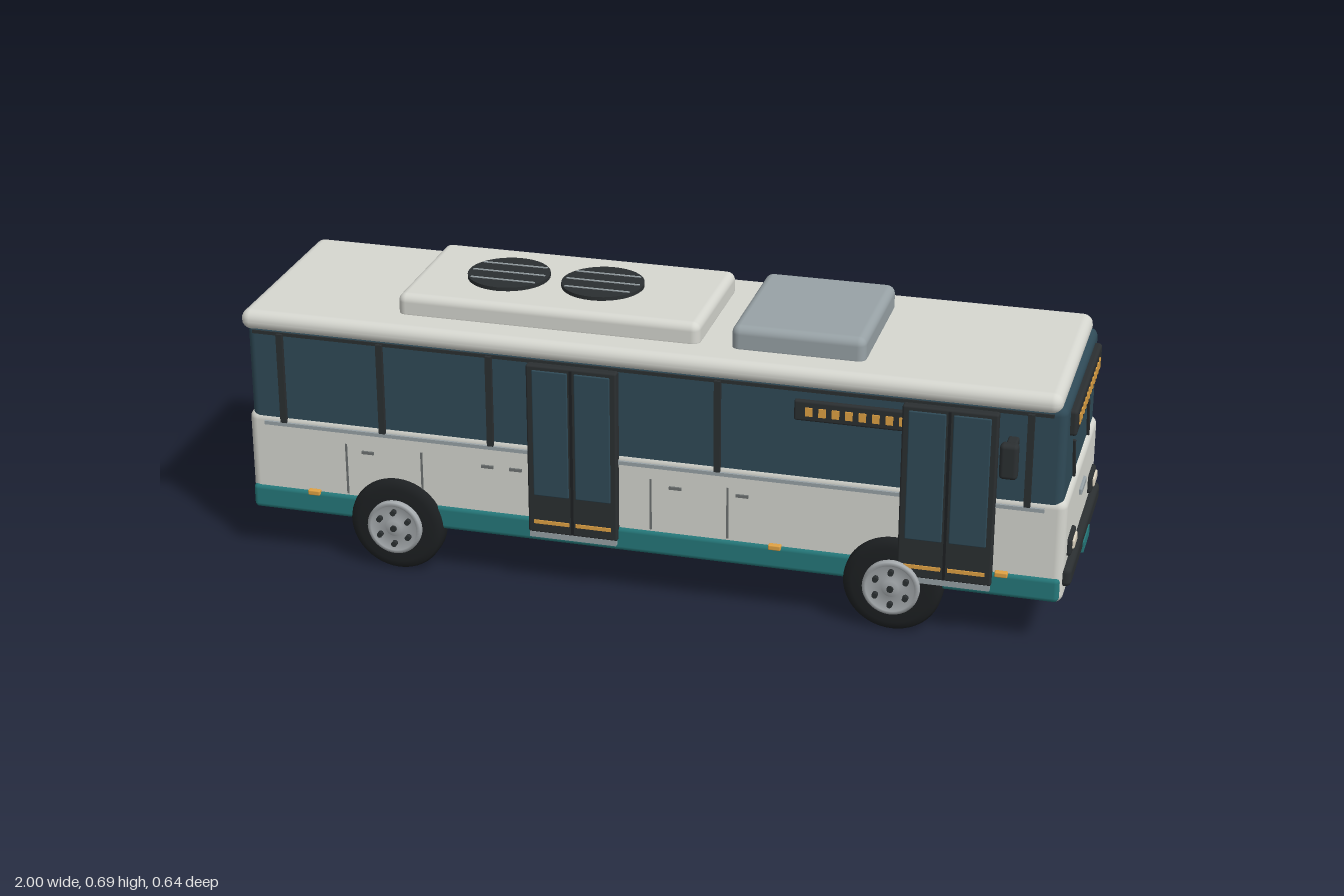
import * as THREE from 'three';
import { RoundedBoxGeometry } from 'three/addons/geometries/RoundedBoxGeometry.js';

const mat = (color) => new THREE.MeshStandardMaterial({ color });
const M = {
  white: mat(0xd6d7d0), glass: mat(0x2f4a57), teal: mat(0x25787a), dark: mat(0x2b2f31),
  tyre: mat(0x1d2022), grey: mat(0x98a2a6), amber: mat(0xe0a244), lens: mat(0xd9d0bd),
  red: mat(0xa32222), rim: mat(0xa3a8ab), seam: mat(0x6d7272),
};

export function createModel() {
  const bus = new THREE.Group();
  bus.name = 'bus';

  const add = (name, geo, m, parent = bus) => {
    const mesh = new THREE.Mesh(geo, M[m]);
    mesh.name = name;
    parent.add(mesh);
    return mesh;
  };
  // Box from its extents; r > 0 rounds the edges
  const box = (name, m, [x0, x1], [y0, y1], [z0, z1], r = 0, parent = bus) => {
    const s = [x1 - x0, y1 - y0, z1 - z0];
    const geo = r ? new RoundedBoxGeometry(...s, 3, r) : new THREE.BoxGeometry(...s);
    const mesh = add(name, geo, m, parent);
    mesh.position.set((x0 + x1) / 2, (y0 + y1) / 2, (z0 + z1) / 2);
    return mesh;
  };
  // Extents of a length w centred on c
  const at = (c, w) => [c - w / 2, c + w / 2];
  // Extents of a layer on side s, from depth a to depth b
  const side = (s, a, b) => (s > 0 ? [a, b] : [-b, -a]);

  // Main shell
  box('lowerBody', 'white', [-0.993, 0.98], [0.108, 0.37], [-0.257, 0.257], 0.022);
  box('windowBand', 'glass', [-0.985, 0.97], [0.33, 0.595], [-0.254, 0.254], 0.02);
  box('roof', 'white', [-1, 0.957], [0.577, 0.627], [-0.261, 0.261], 0.024);

  // Roof equipment
  box('airConditioner', 'white', [-0.63, 0.105], [0.61, 0.677], [-0.18, 0.18], 0.02);
  box('roofHatch', 'grey', [0.18, 0.495], [0.61, 0.682], [-0.181, 0.181], 0.02);
  for (const x of [-0.41, -0.177]) {
    const fan = add('roofFan', new THREE.CylinderGeometry(0.099, 0.099, 0.014, 40), 'dark');
    fan.position.set(x, 0.679, 0);
    for (const z of [-0.05, 0, 0.05]) {
      box('fanBar', 'grey', at(x, z ? 0.16 : 0.18), [0.683, 0.688], at(z, 0.005));
    }
  }

  // Wheel, built with its outer face toward +z
  const wheel = (x, s) => {
    const g = new THREE.Group();
    g.name = 'wheel';
    const turn = (name, pts, m) => {
      const geo = new THREE.LatheGeometry(pts.map((p) => new THREE.Vector2(...p)), 48);
      geo.rotateX(Math.PI / 2);
      const mesh = add(name, geo, m, g);
      mesh.material.side = THREE.DoubleSide;
    };
    turn('tyre', [[0.001, 0.218], [0.095, 0.218], [0.111, 0.224], [0.117, 0.234], [0.117, 0.262],
      [0.111, 0.27], [0.095, 0.275], [0.062, 0.275]], 'tyre');
    turn('rim', [[0.067, 0.268], [0.067, 0.289], [0.058, 0.291], [0.054, 0.284], [0.024, 0.284],
      [0.02, 0.291], [0.001, 0.291]], 'rim');
    for (let i = 0; i < 6; i++) {
      const a = (i / 6) * Math.PI * 2 + Math.PI / 6;
      const bolt = add('wheelBolt', new THREE.CylinderGeometry(0.007, 0.007, 0.014, 10), 'dark', g);
      bolt.rotation.x = Math.PI / 2;
      bolt.position.set(Math.cos(a) * 0.041, Math.sin(a) * 0.041, 0.289);
    }
    const hub = add('hubCap', new THREE.CylinderGeometry(0.008, 0.008, 0.008, 12), 'dark', g);
    hub.rotation.x = Math.PI / 2;
    hub.position.z = 0.292;
    g.position.set(x, 0.117, 0);
    if (s < 0) g.rotation.y = Math.PI;
    bus.add(g);
  };

  // Fittings found on both flanks
  for (const s of [1, -1]) {
    box('skirt', 'teal', [-0.99, 0.973], [0.115, 0.177], side(s, 0.225, 0.263), 0.012);
    box('beltRail', 'grey', [-0.95, 0.93], [0.34, 0.349], side(s, 0.25, 0.263));
    box('gutter', 'dark', [-0.97, 0.94], [0.572, 0.58], side(s, 0.245, 0.257));
    for (const x of [-0.62, 0.59]) wheel(x, s);

    const pillars = s > 0 ? [-0.9, -0.65, -0.38, 0.17, 0.89] : [-0.9, -0.65, -0.38, -0.11, 0.17, 0.44, 0.89];
    for (const x of pillars) box('windowPillar', 'dark', at(x, 0.015), [0.35, 0.578], side(s, 0.245, 0.265));

    const seams = s > 0 ? [-0.745, -0.555, 0.01, 0.195] : [-0.745, -0.37, -0.18, 0.01, 0.195];
    for (const x of seams) box('panelSeam', 'seam', at(x, 0.005), [0.18, 0.31], side(s, 0.25, 0.259));
    const handles = s > 0 ? [-0.69, -0.39, -0.32, 0.07, 0.23] : [-0.69, -0.31, -0.12, 0.07, 0.25];
    for (const x of handles) box('hatchHandle', 'seam', at(x, 0.03), [0.29, 0.297], side(s, 0.25, 0.262));
    for (const x of [-0.83, 0.31, 0.84]) {
      box('sideMarker', 'amber', at(x, 0.03), [0.168, 0.181], side(s, 0.255, 0.27), 0.003);
    }

    // Side destination sign
    box('sideSign', 'dark', [0.35, 0.67], [0.503, 0.553], side(s, 0.245, 0.265), 0.005);
    for (let i = 0; i < 9; i++) {
      box('signSegment', 'amber', at(0.385 + i * 0.031, 0.017), [0.517, 0.538], side(s, 0.26, 0.268));
    }

    // Mirror on its arm
    box('mirrorArm', 'dark', [0.84, 0.865], [0.498, 0.517], side(s, 0.25, 0.305), 0.005);
    box('mirror', 'dark', [0.83, 0.872], [0.437, 0.523], side(s, 0.292, 0.32), 0.01);
  }

  // Double-leaf doors on one flank
  for (const x of [-0.176, 0.71]) {
    const door = new THREE.Group();
    door.name = 'door';
    bus.add(door);
    box('doorFrame', 'dark', at(x, 0.218), [0.145, 0.574], [0.24, 0.276], 0.005, door);
    box('doorStep', 'grey', at(x, 0.212), [0.133, 0.147], [0.22, 0.276], 0, door);
    for (const d of [-1, 1]) {
      const c = x + d * 0.051;
      box('doorGlass', 'glass', at(c, 0.086), [0.243, 0.563], [0.26, 0.279], 0.003, door);
      box('doorStripe', 'amber', at(c, 0.086), [0.17, 0.179], [0.26, 0.279], 0, door);
    }
    box('doorSplit', 'tyre', at(x, 0.006), [0.15, 0.57], [0.26, 0.28], 0, door);
  }

  // Front face
  box('frontSign', 'dark', [0.95, 0.986], [0.51, 0.573], [-0.207, 0.207], 0.008);
  for (let i = 0; i < 12; i++) {
    box('signSegment', 'amber', [0.975, 0.989], [0.528, 0.554], at(-0.155 + i * 0.0295, 0.013));
  }
  for (const z of [0.118, -0.118]) {
    const wiper = box('wiper', 'dark', [0.965, 0.977], at(0.418, 0.112), at(z, 0.007), 0.003);
    wiper.rotation.x = 0.305;
  }
  box('frontBadge', 'grey', [0.97, 0.987], [0.288, 0.304], [-0.038, 0.038], 0.003);
  box('bumper', 'dark', [0.95, 0.997], [0.149, 0.199], [-0.245, 0.245], 0.014);
  box('frontPlate', 'teal', [0.98, 1], [0.147, 0.173], [-0.05, 0.05]);
  for (const z of [0.171, -0.171]) {
    box('headlightFrame', 'dark', [0.96, 0.99], [0.212, 0.258], at(z, 0.08), 0.008);
    box('headlight', 'lens', [0.97, 0.995], [0.226, 0.249], at(z, 0.054), 0.004);
  }

  // Rear face
  for (let i = 0; i < 6; i++) {
    box('rearVent', 'dark', [-0.998, -0.97], [0.35, 0.44], at(-0.13 + i * 0.052, 0.014));
  }
  for (const z of [0.2, -0.2]) box('tailLight', 'red', [-1, -0.98], [0.262, 0.345], at(z, 0.034), 0.004);

  return bus;
}
